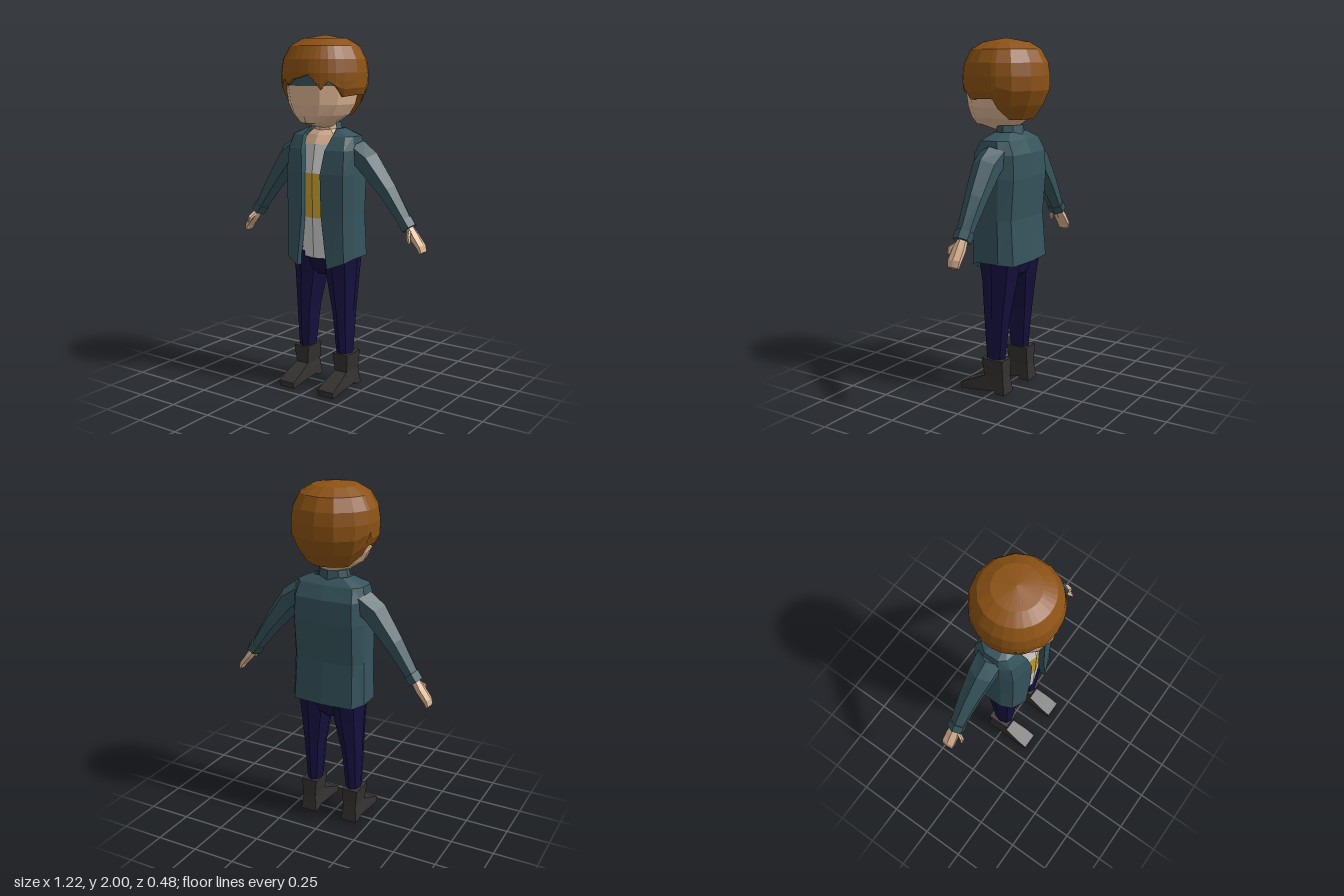
import * as THREE from 'three';

const mat = (color) => new THREE.MeshStandardMaterial({ color, flatShading: true, side: THREE.DoubleSide });

// Skin a list of equal-length cross-sections; rings turn from +z towards +x while going up
function loft(rings, { closed = true, caps = true } = {}) {
  const pos = [], n = rings[0].length;
  const tri = (...p) => p.forEach((q) => pos.push(...q));
  for (let i = 0; i < rings.length - 1; i++) {
    for (let j = 0; j < (closed ? n : n - 1); j++) {
      const k = (j + 1) % n;
      const a = rings[i][j], b = rings[i][k], c = rings[i + 1][k], d = rings[i + 1][j];
      tri(a, b, c);
      tri(a, c, d);
    }
  }
  if (closed && caps) {
    const lo = rings[0], hi = rings[rings.length - 1];
    for (let j = 1; j < n - 1; j++) {
      tri(lo[0], lo[j + 1], lo[j]);
      tri(hi[0], hi[j], hi[j + 1]);
    }
  }
  const g = new THREE.BufferGeometry();
  g.setAttribute('position', new THREE.Float32BufferAttribute(pos, 3));
  g.computeVertexNormals();
  return g;
}

// Horizontal section: height, half width, front z, back z
function ring([y, hx, zf, zb, cx = 0], n = 8) {
  return Array.from({ length: n }, (_, i) => {
    const a = (i / n) * Math.PI * 2;
    return [cx + hx * Math.sin(a), y, (zf + zb) / 2 + ((zf - zb) / 2) * Math.cos(a)];
  });
}

// Section across the arm: centre, half thickness, half depth
function armRing([x, y, z, t, d], n = 6) {
  return Array.from({ length: n }, (_, i) => {
    const a = (i / n) * Math.PI * 2, u = t * Math.cos(a);
    return [x + 0.78 * u, y + 0.62 * u, z + d * Math.sin(a)];
  });
}

// Mirror across x, restoring the corner order
function mirrored(geo) {
  const g = geo.index ? geo.toNonIndexed() : geo.clone();
  g.scale(-1, 1, 1);
  const p = g.attributes.position, v = new THREE.Vector3(), w = new THREE.Vector3();
  for (let i = 0; i < p.count; i += 3) {
    v.fromBufferAttribute(p, i + 1);
    w.fromBufferAttribute(p, i + 2);
    p.setXYZ(i + 1, w.x, w.y, w.z);
    p.setXYZ(i + 2, v.x, v.y, v.z);
  }
  g.computeVertexNormals();
  return g;
}

// Linear lookup in a table of [key, value] with falling keys
function lookup(table, key) {
  for (let i = 0; i < table.length - 1; i++) {
    const [k0, v0] = table[i], [k1, v1] = table[i + 1];
    if (key >= k1) return v0 + ((v1 - v0) * (k0 - key)) / (k0 - k1);
  }
  return table[table.length - 1][1];
}

export function createModel() {
  const model = new THREE.Group();
  const skin = mat(0xdfb795), teal = mat(0x36545c), hairMat = mat(0x8c5214);
  const navy = mat(0x15113f), boot = mat(0x343230), grey = mat(0xcccccc), yellow = mat(0xc9a030);
  const add = (name, geo, material) => {
    const m = new THREE.Mesh(geo, material);
    m.name = name;
    model.add(m);
  };
  const pair = (name, geo, material) => {
    add('left' + name, geo, material);
    add('right' + name, mirrored(geo), material);
  };
  const stack = (rows, n) => loft(rows.map((r) => ring(r, n)));

  // Head, headband and neck
  add('head', stack([
    [1.5, 0.05, 0.06, -0.05], [1.53, 0.09, 0.185, -0.09], [1.57, 0.15, 0.203, -0.13],
    [1.63, 0.185, 0.217, -0.16], [1.73, 0.205, 0.23, -0.2]], 12), skin);
  add('headband', stack([[1.73, 0.207, 0.233, -0.2], [1.81, 0.207, 0.233, -0.2]], 12), teal);
  add('neck', stack([[1.42, 0.085, 0.06, -0.09], [1.48, 0.072, 0.05, -0.085], [1.54, 0.068, 0.05, -0.08]]), skin);

  // Hair: a dome whose lower edge follows [degrees from front, height]
  const edge = [
    [-180, 1.565], [-155, 1.565], [-128, 1.565], [-108, 1.63], [-102, 1.68], [-86, 1.68], [-72, 1.68],
    [-60, 1.64], [-55, 1.69], [-45, 1.725], [-32, 1.765], [-22, 1.735], [-12, 1.765], [0, 1.775], [12, 1.79],
    [20, 1.755], [28, 1.71], [38, 1.755], [48, 1.73], [60, 1.672], [80, 1.68], [102, 1.68],
    [108, 1.63], [128, 1.565], [155, 1.565]];
  const dome = [[2, 0], [1.98, 0.125], [1.94, 0.192], [1.87, 0.23], [1.8, 0.241], [1.72, 0.239], [1.63, 0.2], [1.565, 0.155]];
  const hairRow = (height, inset = 1) => edge.map(([deg, low]) => {
    const y = height(low), r = lookup(dome, y) * inset, a = THREE.MathUtils.degToRad(deg);
    return [r * Math.sin(a), y, r * Math.cos(a)];
  });
  const hairRows = [2, 1.98, 1.94, 1.87, 1.8].map((y) => hairRow(() => y));
  for (const t of [0.33, 0.67, 1]) hairRows.push(hairRow((low) => 1.8 + (low - 1.8) * t));
  hairRows.push(hairRow((low) => low, 0.86));
  add('hair', loft(hairRows.reverse(), { caps: false }), hairMat);

  // Shirt in three bands, with bare chest above
  add('shirtHem', stack([[0.77, 0.17, 0.115, -0.14], [1, 0.16, 0.125, -0.13]]), grey);
  add('shirtStripe', stack([[1, 0.16, 0.125, -0.13], [1.25, 0.16, 0.13, -0.14]]), yellow);
  add('shirtTop', stack([[1.25, 0.16, 0.13, -0.14], [1.41, 0.15, 0.1, -0.13]]), grey);
  add('chest', stack([[1.41, 0.15, 0.1, -0.13], [1.46, 0.12, 0.07, -0.1], [1.49, 0.08, 0.045, -0.08]]), skin);

  // Open jacket, one half: height, opening x, front z, half width, back z
  const jacketRows = [
    [0.77, 0.1, 0.135, 0.225, -0.17], [1.02, 0.065, 0.14, 0.217, -0.15], [1.25, 0.06, 0.142, 0.22, -0.168],
    [1.38, 0.078, 0.122, 0.215, -0.162], [1.455, 0.097, 0.075, 0.2, -0.125], [1.495, 0.09, 0.02, 0.105, -0.085]];
  const jacket = jacketRows.map(([y, xo, zf, w, zb], i) => {
    const dip = i === 0 ? 0.05 : 0;
    return [
      [xo, y - dip, zf - 0.04], [xo, y - dip, zf], [w * 0.85, y - dip * 0.25, zf * 0.75],
      [w, y + dip * 0.2, zf * 0.3], [w, y + dip * 0.2, zb * 0.5], [w * 0.8, y, zb * 0.92], [0, y, zb]];
  });
  pair('JacketHalf', loft(jacket, { closed: false }), teal);

  // Standing collar, open at the front
  const collarRow = (y, r) => [65, 100, 140, 180, 220, 260, 295].map((deg) => {
    const a = THREE.MathUtils.degToRad(deg);
    return [r * Math.sin(a), y, -0.02 + r * 0.85 * Math.cos(a)];
  });
  add('collar', loft([collarRow(1.475, 0.097), collarRow(1.53, 0.085), collarRow(1.53, 0.07)], { closed: false }), teal);

  // Sleeves, cuffs, hands and thumbs
  const limb = (rows) => loft(rows.map((r) => armRing(r)));
  pair('Sleeve', limb([
    [0.16, 1.375, -0.035, 0.09, 0.085], [0.255, 1.32, -0.035, 0.078, 0.08],
    [0.38, 1.165, -0.045, 0.058, 0.062], [0.495, 1.0, -0.05, 0.038, 0.046]]), teal);
  pair('Cuff', limb([[0.487, 1.012, -0.05, 0.046, 0.055], [0.517, 0.97, -0.05, 0.044, 0.053]]), teal);
  pair('Hand', limb([
    [0.508, 0.982, -0.053, 0.024, 0.028], [0.545, 0.93, -0.053, 0.025, 0.04],
    [0.588, 0.877, -0.053, 0.02, 0.042], [0.601, 0.845, -0.053, 0.011, 0.038]]), skin);
  pair('Thumb', limb([
    [0.525, 0.96, -0.03, 0.014, 0.016], [0.54, 0.932, 0.004, 0.015, 0.017], [0.55, 0.9, 0.01, 0.009, 0.01]]), skin);

  // Trousers
  add('hips', stack([[0.665, 0.05, 0.05, -0.09], [0.7, 0.15, 0.075, -0.125], [0.82, 0.2, 0.115, -0.155]]), navy);
  pair('TrouserLeg', stack([
    [0.19, 0.042, 0.045, -0.07, 0.13], [0.45, 0.06, 0.068, -0.1, 0.123],
    [0.66, 0.088, 0.086, -0.135, 0.107], [0.8, 0.1, 0.11, -0.158, 0.104]]), navy);

  // Boots: a side outline given width, pinched at the ankle
  const outline = [
    [0.05, 0.21], [-0.085, 0.21], [-0.085, 0.1], [-0.098, 0.01], [-0.05, 0.01], [-0.03, 0.025],
    [0.195, 0], [0.2, 0.035], [0.14, 0.062], [0.04, 0.105]];
  const bootGeo = new THREE.ExtrudeGeometry(
    new THREE.Shape(outline.map(([z, y]) => new THREE.Vector2(z, y))), { depth: 0.1, bevelEnabled: false });
  bootGeo.rotateY(-Math.PI / 2).translate(0.05, 0, 0);
  const p = bootGeo.attributes.position;
  for (let i = 0; i < p.count; i++) {
    const pinch = Math.abs(p.getY(i) - 0.1) < 0.02 ? 0.8 : 1;
    p.setX(i, p.getX(i) * pinch + 0.135);
  }
  bootGeo.computeVertexNormals();
  pair('Boot', bootGeo, boot);

  return model;
}
